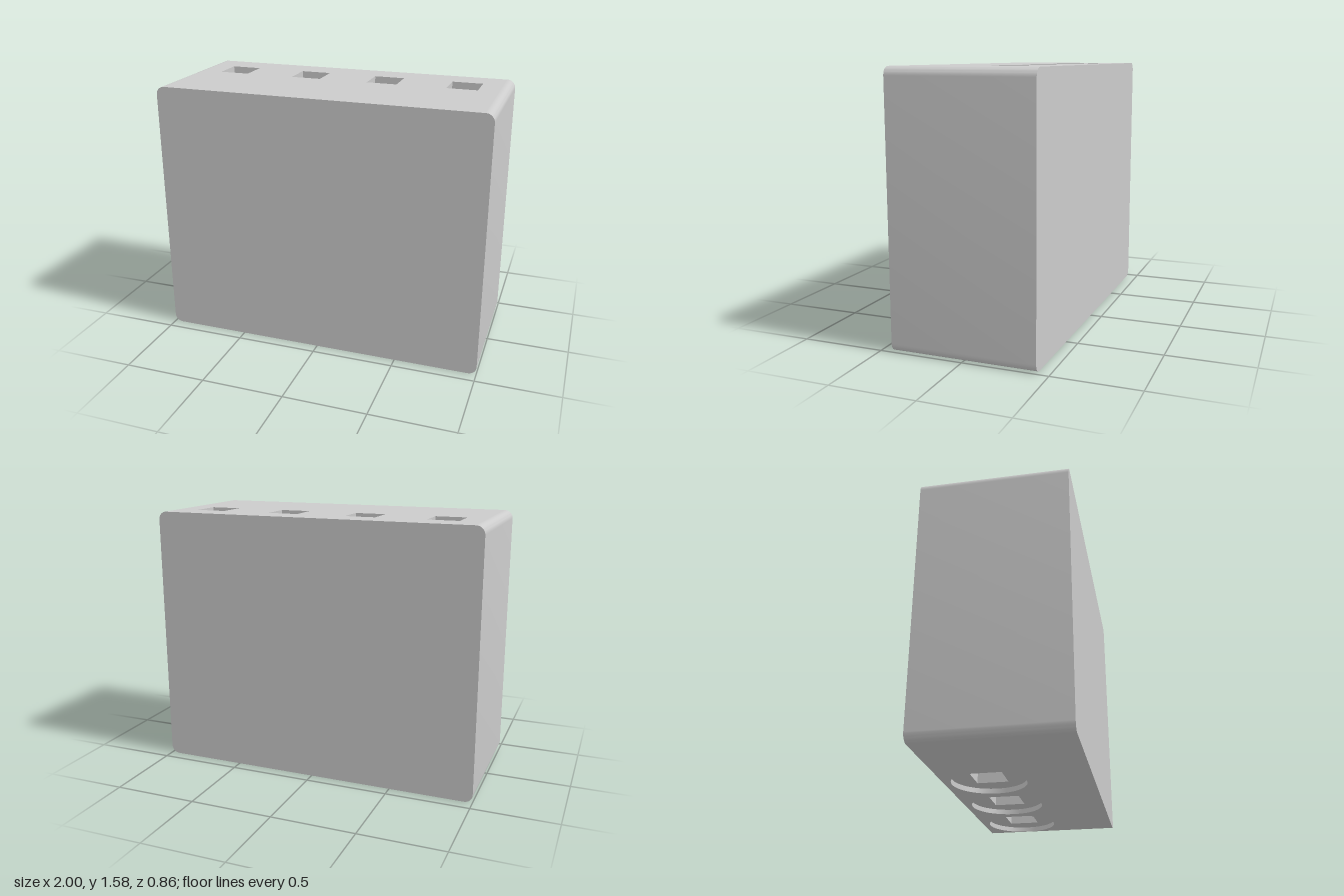
import * as THREE from 'three';
import { toCreasedNormals } from 'three/addons/utils/BufferGeometryUtils.js';

const W = 2, H = 1.58, D = 0.86, R = 0.05;
const HOLE = 0.186, ROW = 0.17, RECESS_R = 0.22, RECESS_D = 0.03;
const COLUMNS = [-0.733, -0.244, 0.244, 0.733];
const material = new THREE.MeshStandardMaterial({ color: 0xcccccc });

function add(parent, name, geometry, x = 0, y = 0, z = 0) {
  const mesh = new THREE.Mesh(geometry, material);
  mesh.name = name;
  mesh.position.set(x, y, z);
  parent.add(mesh);
  return mesh;
}

// Wall swept along z through 2D points; it faces the right of the travel direction
function wall(points, z0, z1) {
  const v = [];
  for (let i = 0; i < points.length - 1; i++) {
    const p = points[i], q = points[i + 1];
    v.push(p.x, p.y, z0, q.x, q.y, z0, q.x, q.y, z1);
    v.push(p.x, p.y, z0, q.x, q.y, z1, p.x, p.y, z1);
  }
  const g = new THREE.BufferGeometry();
  g.setAttribute('position', new THREE.Float32BufferAttribute(v, 3));
  return toCreasedNormals(g, 0.6);
}

function rectPoints(w, h, x = 0, y = 0) {
  return [[-1, -1], [1, -1], [1, 1], [-1, 1], [-1, -1]]
    .map(([a, b]) => new THREE.Vector2(x + a * w / 2, y + b * h / 2));
}

function circlePoints(r, x = 0, y = 0, n = 64) {
  return Array.from({ length: n + 1 }, (_, i) => {
    const a = (i % n) / n * Math.PI * 2;
    return new THREE.Vector2(x + r * Math.cos(a), y + r * Math.sin(a));
  });
}

// Flat panel with holes given as point loops
function panel(outline, holes) {
  const shape = new THREE.Shape(outline);
  shape.holes = holes.map((h) => new THREE.Path(h));
  return new THREE.ShapeGeometry(shape);
}

// Blind square socket going down from local z = 0
function addSocket(parent, name, x, y, z, depth) {
  add(parent, name + 'Walls', wall(rectPoints(HOLE, HOLE).reverse(), -depth, 0), x, y, z);
  add(parent, name + 'Floor', new THREE.PlaneGeometry(HOLE, HOLE), x, y, z - depth);
}

export function createModel() {
  const model = new THREE.Group();
  model.name = 'block';

  // Rounded right-hand end profile, bottom to top
  const profile = [];
  const arc = (cy, start) => {
    for (let i = 0; i <= 10; i++) {
      const a = start + (i / 10) * Math.PI / 2;
      profile.push(new THREE.Vector2(W / 2 - R + R * Math.cos(a), cy + R * Math.sin(a)));
    }
  };
  arc(R, -Math.PI / 2);
  arc(H - R, 0);

  // Front, back and the two rounded ends
  const outline = [...profile, ...profile.map((p) => new THREE.Vector2(-p.x, p.y)).reverse()];
  add(model, 'frontFace', panel(outline, []), 0, 0, D / 2);
  add(model, 'backFace', panel(outline, []), 0, 0, -D / 2).rotation.y = Math.PI;
  const end = wall(profile, -D / 2, D / 2);
  // travel is counter-clockwise, so the wall faces outward
  add(model, 'leftEnd', end);
  add(model, 'rightEnd', end).rotation.y = Math.PI;

  // Top with four square sockets
  const top = new THREE.Group();
  top.name = 'top';
  top.position.y = H;
  top.rotation.x = -Math.PI / 2;
  model.add(top);
  const deck = rectPoints(W - 2 * R, D);
  add(top, 'topFace', panel(deck, COLUMNS.map((x) => rectPoints(HOLE, HOLE, x, ROW))));
  for (const x of COLUMNS) addSocket(top, 'topSocket', x, ROW, 0, 0.09);

  // Underside with four shallow round recesses, each holding a square socket
  const bottom = new THREE.Group();
  bottom.name = 'underside';
  bottom.rotation.x = Math.PI / 2;
  model.add(bottom);
  add(bottom, 'bottomFace', panel(deck, COLUMNS.map((x) => circlePoints(RECESS_R, x, -ROW))));
  const rim = wall(circlePoints(RECESS_R).reverse(), -RECESS_D, 0);
  const disc = panel(circlePoints(RECESS_R), [rectPoints(HOLE, HOLE)]);
  for (const x of COLUMNS) {
    add(bottom, 'recessRim', rim, x, -ROW, 0);
    add(bottom, 'recessFloor', disc, x, -ROW, -RECESS_D);
    addSocket(bottom, 'bottomSocket', x, -ROW, -RECESS_D, 0.08);
  }
  return model;
}
